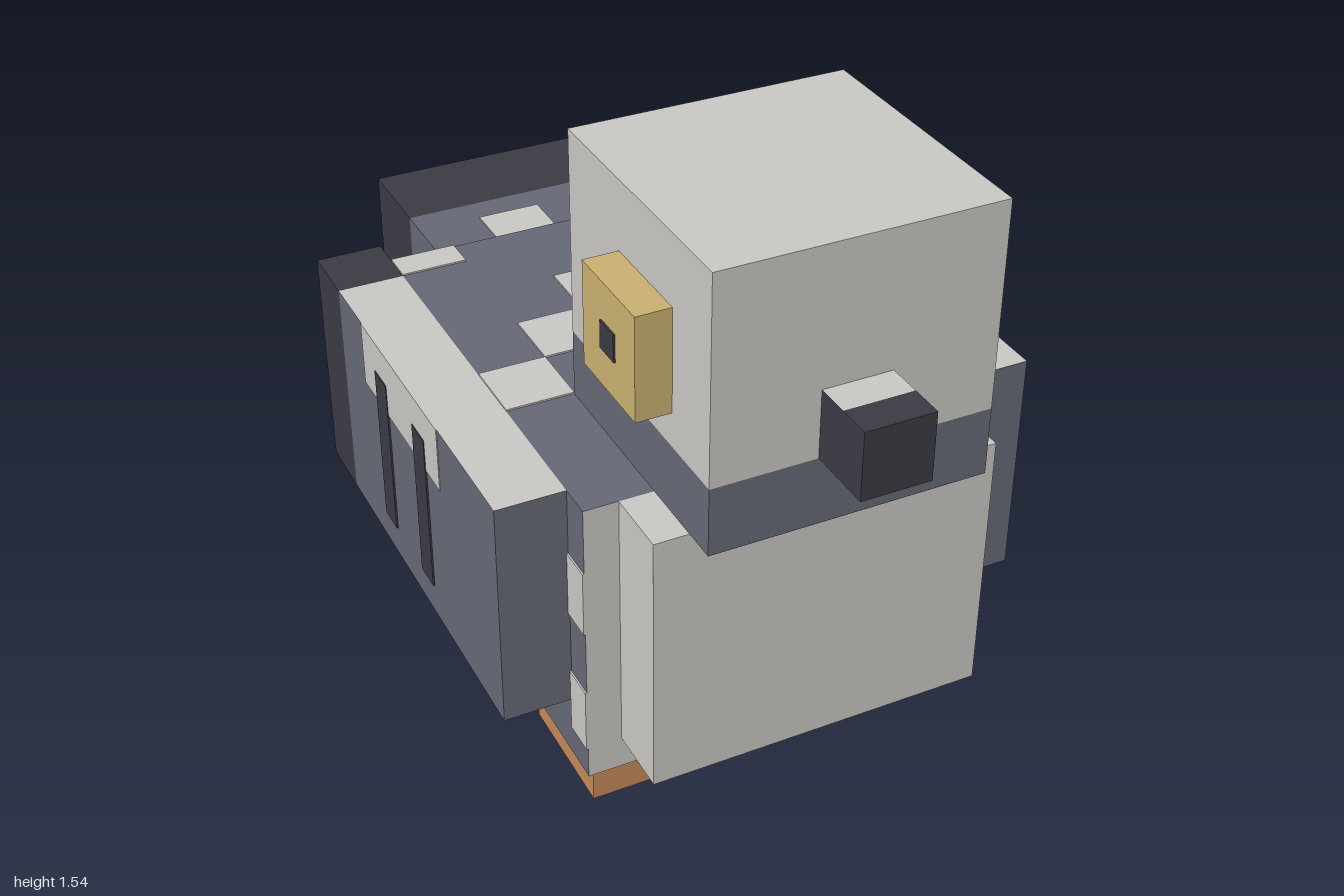
import * as THREE from 'three';

const U = 1 / 13; // one block unit
const T = 0.05;   // plate thickness in units

function material(name, color) {
  const m = new THREE.MeshStandardMaterial({ color });
  m.name = name;
  return m;
}

export function createModel() {
  const pale = material('pale grey', 0xc8c6c2);
  const slate = material('slate', 0x656775);
  const dark = material('charcoal', 0x3b3a44);
  const gold = material('gold', 0xc8ae70);
  const orange = material('orange', 0xc28857);

  const model = new THREE.Group();
  model.name = 'bird';

  // Box from ranges in block units; mats is one material or six (+x -x +y -y +z -z)
  function box(parent, name, [x0, x1], [y0, y1], [z0, z1], mats) {
    const g = new THREE.BoxGeometry((x1 - x0) * U, (y1 - y0) * U, (z1 - z0) * U);
    const mesh = new THREE.Mesh(g, mats);
    mesh.position.set((x0 + x1) / 2 * U, (y0 + y1) / 2 * U, (z0 + z1) / 2 * U);
    mesh.name = name;
    parent.add(mesh);
    return mesh;
  }
  function group(name) {
    const g = new THREE.Group();
    g.name = name;
    model.add(g);
    return g;
  }
  // Ordered x range on the chosen side
  const side = (s, a, b) => (s > 0 ? [a, b] : [-b, -a]);

  // Body with pale front and belly, and a chest pad
  const body = group('body');
  box(body, 'torso', [-6, 6], [3, 12], [-6, 8], [slate, slate, slate, pale, pale, slate]);
  box(body, 'chest', [-5, 5], [4, 12], [8, 10], pale);

  // Pale patches on the back: [x0, x1, z0, z1]
  for (const [x0, x1, z0, z1] of [
    [-2, 0, -3, 1], [-4, -2, -1, 1], [2, 4, -1, 1], [-6, -4, 1, 3], [-6, -4, -6, -5], [4, 6, -6, -5],
  ]) box(body, 'backPatch', [x0, x1], [12, 12 + T], [z0, z1], pale);

  // Pale patches on the rump: [x0, x1, y0, y1]
  for (const [x0, x1, y0, y1] of [[-4, -2, 3, 4], [-6, -4, 8, 10], [4, 6, 6, 8]])
    box(body, 'rumpPatch', [x0, x1], [y0, y1], [-6 - T, -6], pale);

  // Pale patches on the flanks
  for (const s of [1, -1])
    for (const y of [4, 8]) box(body, 'flankPatch', side(s, 6, 6 + T), [y, y + 2], [7, 8], pale);
  box(body, 'lowerFlankPatch', [6, 6 + T], [4, 5], [1, 3], pale);

  // Head with collar and two-tone beak
  const head = group('head');
  box(head, 'collar', [-4, 4], [12, 14], [3, 11], slate);
  box(head, 'skull', [-4, 4], [14, 20], [3, 11], pale);
  box(head, 'beakBase', [-1, 1], [14, 16], [11, 12], [dark, dark, pale, dark, dark, dark]);
  box(head, 'beakTip', [-1, 1], [14, 16], [12, 13], dark);

  for (const s of [1, -1]) {
    // Raised eye with pupil
    box(head, 'eye', side(s, 4, 5), [15, 18], [6, 9], gold);
    box(head, 'pupil', side(s, 5, 5 + T), [16.1, 16.9], [7.1, 7.9], dark);

    // Wing with pale top, shoulder patch, streaks and dark tip
    const wing = group(s > 0 ? 'leftWing' : 'rightWing');
    box(wing, 'wingPanel', side(s, 6, 8), [5, 12], [-5, 7], [slate, slate, pale, slate, slate, slate]);
    box(wing, 'wingTip', side(s, 6, 8), [5, 12], [-7, -5], dark);
    box(wing, 'shoulderPatch', side(s, 8, 8 + T / 2), [10, 12], [-3, 3], pale);
    for (const z of [-2, 1]) box(wing, 'streak', side(s, 8, 8 + T), [6, 11], [z + 0.05, z + 0.95], dark);

    // Leg and foot
    const leg = group(s > 0 ? 'leftLeg' : 'rightLeg');
    box(leg, 'shin', side(s, 2, 4), [1, 3], [2, 4], orange);
    box(leg, 'foot', side(s, 1, 5), [0, 1], [2, 6], orange);
  }

  // Tail with dark end and pale markings
  const tail = group('tail');
  box(tail, 'tailBase', [-4, 4], [8, 11], [-10, -6], slate);
  box(tail, 'tailTip', [-4, 4], [8, 11], [-13, -10], dark);
  for (const x of [-2, 2]) box(tail, 'tailPatch', [x, x + 2], [11, 11 + T], [-9, -7], pale);
  box(tail, 'tailStripe', [4, 4 + T], [8, 11], [-10, -9], pale);
  box(tail, 'underTailPatch', [0, 2], [8 - T, 8], [-8, -6], pale);

  return model;
}
